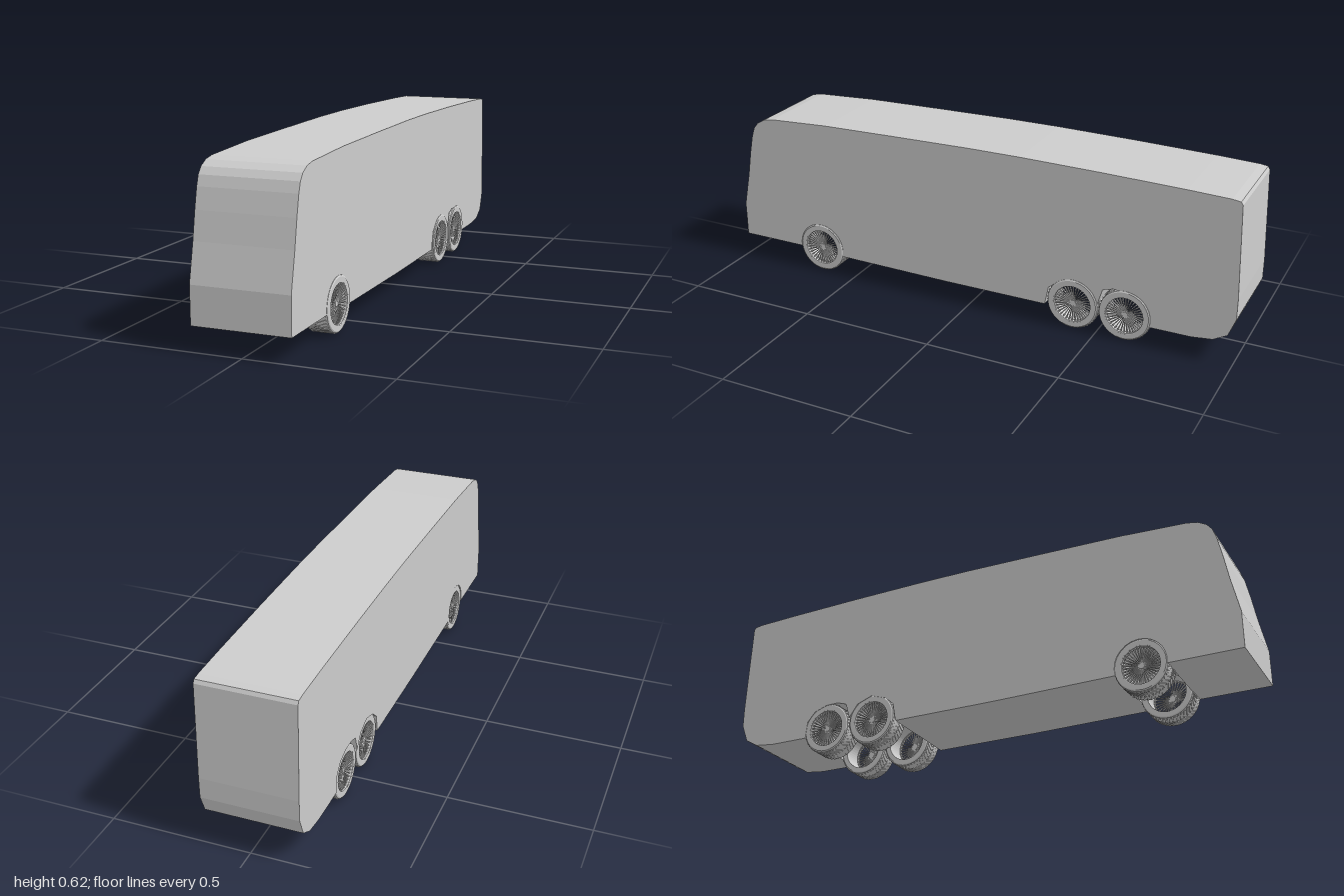
import * as THREE from 'three';
import { mergeGeometries } from 'three/addons/utils/BufferGeometryUtils.js';

const WHEEL_R = 0.097, HALF_W = 0.044;

const grey = new THREE.MeshStandardMaterial({ color: 0xcccccc, flatShading: true });
grey.name = 'plain grey';

// Coach body: side profile with wheel arches, as [z, y], extruded across the width
function bodyGeometry() {
  const nose = [[1, 0.084], [1, 0.215], [0.985, 0.285], [0.972, 0.345], [0.955, 0.44], [0.94, 0.51],
    [0.928, 0.545], [0.91, 0.568], [0.88, 0.585], [0.84, 0.593]];
  const roof = [[0.6, 0.606], [0.3, 0.613], [0, 0.619], [-0.2, 0.62], [-0.5, 0.617], [-0.8, 0.611], [-0.95, 0.606]];
  const tail = [[-0.98, 0.602], [-0.987, 0.59], [-1, 0.25], [-1, 0.175], [-0.975, 0.11], [-0.925, 0.082], [-0.85, 0.073]];
  const rearArch = [[-0.699, 0.072], [-0.692, 0.135], [-0.66, 0.172], [-0.61, 0.189], [-0.56, 0.19], [-0.522, 0.178],
    [-0.505, 0.12], [-0.47, 0.168], [-0.41, 0.19], [-0.35, 0.17], [-0.316, 0.14], [-0.303, 0.071]];
  const frontArch = [];
  for (let i = 0; i <= 14; i++) {
    const a = Math.PI + 0.25 - (i / 14) * (Math.PI + 0.4);
    frontArch.push([0.645 + Math.cos(a) * 0.094, 0.098 + Math.sin(a) * 0.094]);
  }
  const profile = [...nose, ...roof, ...tail, ...rearArch, [0.1, 0.07], ...frontArch];
  const shape = new THREE.Shape(profile.map(([z, y]) => new THREE.Vector2(-z, y)));
  const g = new THREE.ExtrudeGeometry(shape, { depth: 0.343, bevelEnabled: false });
  return g.rotateY(Math.PI / 2).translate(-0.175, 0, 0);
}

// Closed ring around the y axis, from a counter-clockwise [radius, y] outline
const ring = (outline, sides) =>
  new THREE.LatheGeometry([...outline, outline[0]].map(([r, y]) => new THREE.Vector2(r, y)), sides);

// Tyre with chevron tread blocks
function tyreGeometry() {
  const w = HALF_W, r = WHEEL_R - 0.0015;
  const parts = [ring([[0.072, -w], [0.09, -w], [r - 0.001, -w + 0.003], [r, -w + 0.008],
    [r, w - 0.008], [r - 0.001, w - 0.003], [0.09, w], [0.072, w]], 48)];
  for (let i = 0; i < 44; i++) {
    for (const s of [-1, 1]) {
      const block = new THREE.BoxGeometry(0.003, 0.038, 0.006);
      block.rotateX(s * 0.45).translate(r, s * 0.019, 0).rotateY((i / 44) * Math.PI * 2);
      parts.push(block);
    }
  }
  return mergeGeometries(parts);
}

// Open rim: thin spokes between hub and rim ring, dished inwards
function rimGeometry() {
  const y = HALF_W - 0.008;
  const parts = [
    ring([[0.069, y - 0.006], [0.073, y - 0.006], [0.073, y + 0.008], [0.069, y + 0.007]], 48),
    new THREE.CylinderGeometry(0.01, 0.012, 0.012, 20).translate(0, y - 0.008, 0),
  ];
  for (let i = 0; i < 36; i++) {
    const spoke = new THREE.BoxGeometry(0.062, 0.006, 0.0045);
    // Narrow the hub end of each spoke
    const p = spoke.attributes.position;
    for (let k = 0; k < p.count; k++) if (p.getX(k) < 0) p.setZ(k, p.getZ(k) * 0.4);
    spoke.rotateZ(0.1).translate(0.04, y - 0.004, 0).rotateY((i / 36) * Math.PI * 2);
    parts.push(spoke);
  }
  return mergeGeometries(parts);
}

export function createModel() {
  const model = new THREE.Group();
  model.name = 'coach';

  const body = new THREE.Mesh(bodyGeometry(), grey);
  body.name = 'body';
  model.add(body);

  const tyre = tyreGeometry(), rim = rimGeometry();
  const axles = { front: 0.645, middle: -0.41, rear: -0.607 };
  for (const [name, z] of Object.entries(axles)) {
    for (const side of [-1, 1]) {
      const wheel = new THREE.Group();
      wheel.name = name + (side > 0 ? 'LeftWheel' : 'RightWheel');
      const parts = { tyre, rim };
      for (const part in parts) {
        const mesh = new THREE.Mesh(parts[part], grey);
        mesh.name = part;
        wheel.add(mesh);
      }
      // Local +y is the outer face
      wheel.rotation.z = -side * Math.PI / 2;
      wheel.position.set(side > 0 ? 0.128 : -0.1295, WHEEL_R, z);
      model.add(wheel);
    }
  }
  return model;
}
